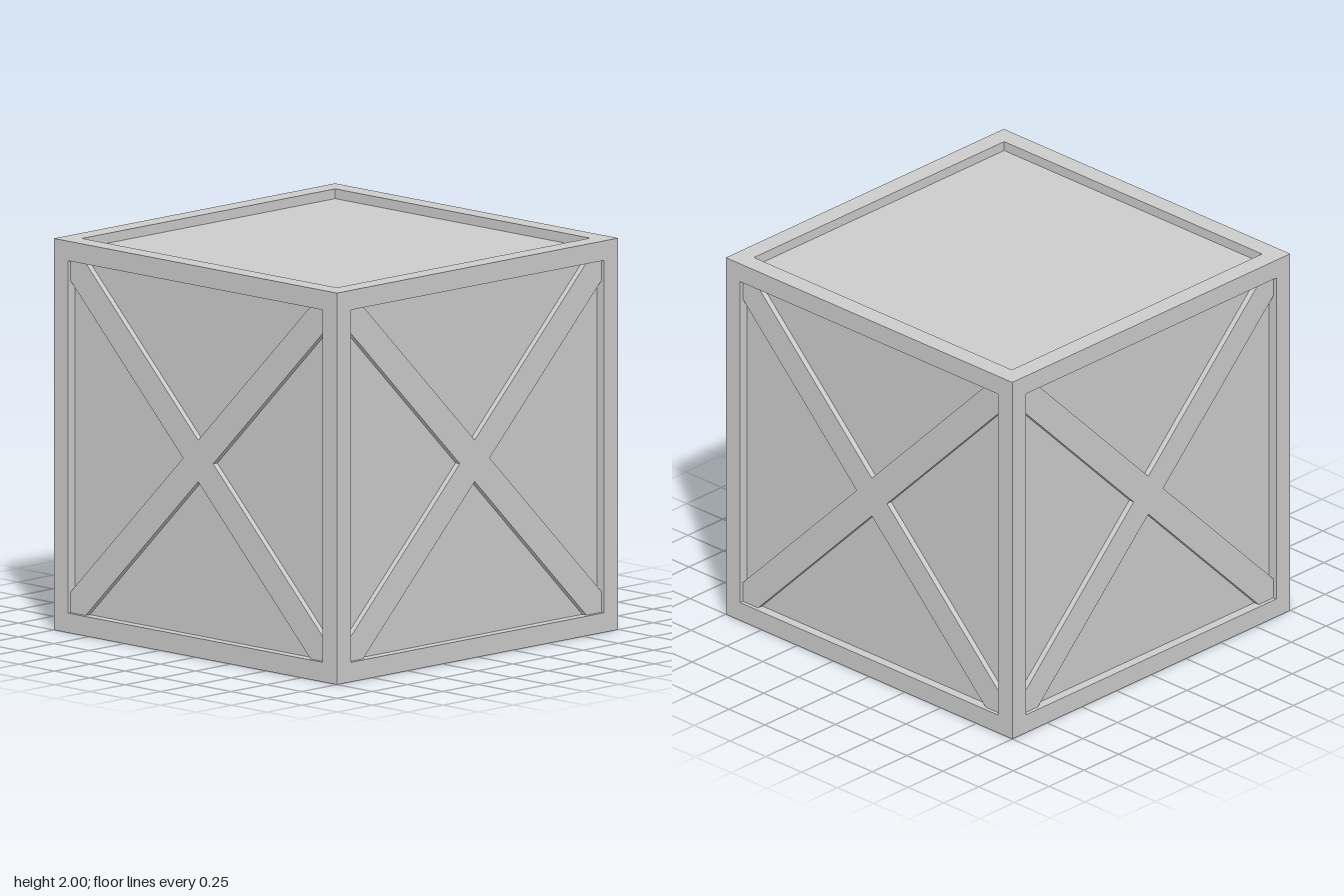
import * as THREE from 'three';

const material = new THREE.MeshStandardMaterial({ color: 0xcccccc, flatShading: true });

const HALF = 1;        // half the crate's side
const BEAM = 0.1;      // frame beam thickness
const INNER = HALF - BEAM;
const PANEL = 0.95;    // distance of panel faces from the centre
const BRACE = 0.98;    // distance of brace faces from the centre
const NOTCH = 0.106;   // offset of a brace edge from its diagonal, along the axes

function add(parent, name, geometry, x = 0, y = 0, z = 0) {
  const mesh = new THREE.Mesh(geometry, material);
  mesh.name = name;
  mesh.position.set(x, y, z);
  parent.add(mesh);
  return mesh;
}

// Outline of the crossed braces, trimmed to the frame opening
function crossShape() {
  const points = [];
  const quarter = [[NOTCH, 0], [INNER, INNER - NOTCH], [INNER, INNER], [INNER - NOTCH, INNER]];
  for (let i = 0; i < 4; i++) {
    for (const [x, y] of quarter) {
      points.push(new THREE.Vector2(x, y).rotateAround(new THREE.Vector2(), i * Math.PI / 2));
    }
  }
  return new THREE.Shape(points);
}

export function createModel() {
  const crate = new THREE.Group();
  crate.name = 'crate';
  const body = new THREE.Group();
  body.name = 'body';
  body.position.y = HALF;
  crate.add(body);

  // Recessed panels on all six sides
  add(body, 'panels', new THREE.BoxGeometry(2 * PANEL, 2 * PANEL, 2 * PANEL));

  // Frame: full-height posts with rails fitted between them
  const frame = new THREE.Group();
  frame.name = 'frame';
  body.add(frame);
  const post = new THREE.BoxGeometry(BEAM, 2 * HALF, BEAM);
  const railX = new THREE.BoxGeometry(2 * INNER, BEAM, BEAM);
  const railZ = new THREE.BoxGeometry(BEAM, BEAM, 2 * INNER);
  const c = HALF - BEAM / 2;
  for (const a of [-c, c]) {
    for (const b of [-c, c]) {
      add(frame, 'cornerPost', post, a, 0, b);
      add(frame, 'crossRail', railX, 0, a, b);
      add(frame, 'sideRail', railZ, a, b, 0);
    }
  }

  // Crossed braces on the four upright sides
  const cross = new THREE.ExtrudeGeometry(crossShape(), { depth: BRACE - PANEL, bevelEnabled: false });
  cross.translate(0, 0, PANEL);
  ['front', 'left', 'back', 'right'].forEach((side, i) => {
    add(body, side + 'Brace', cross).rotation.y = i * Math.PI / 2;
  });

  return crate;
}
